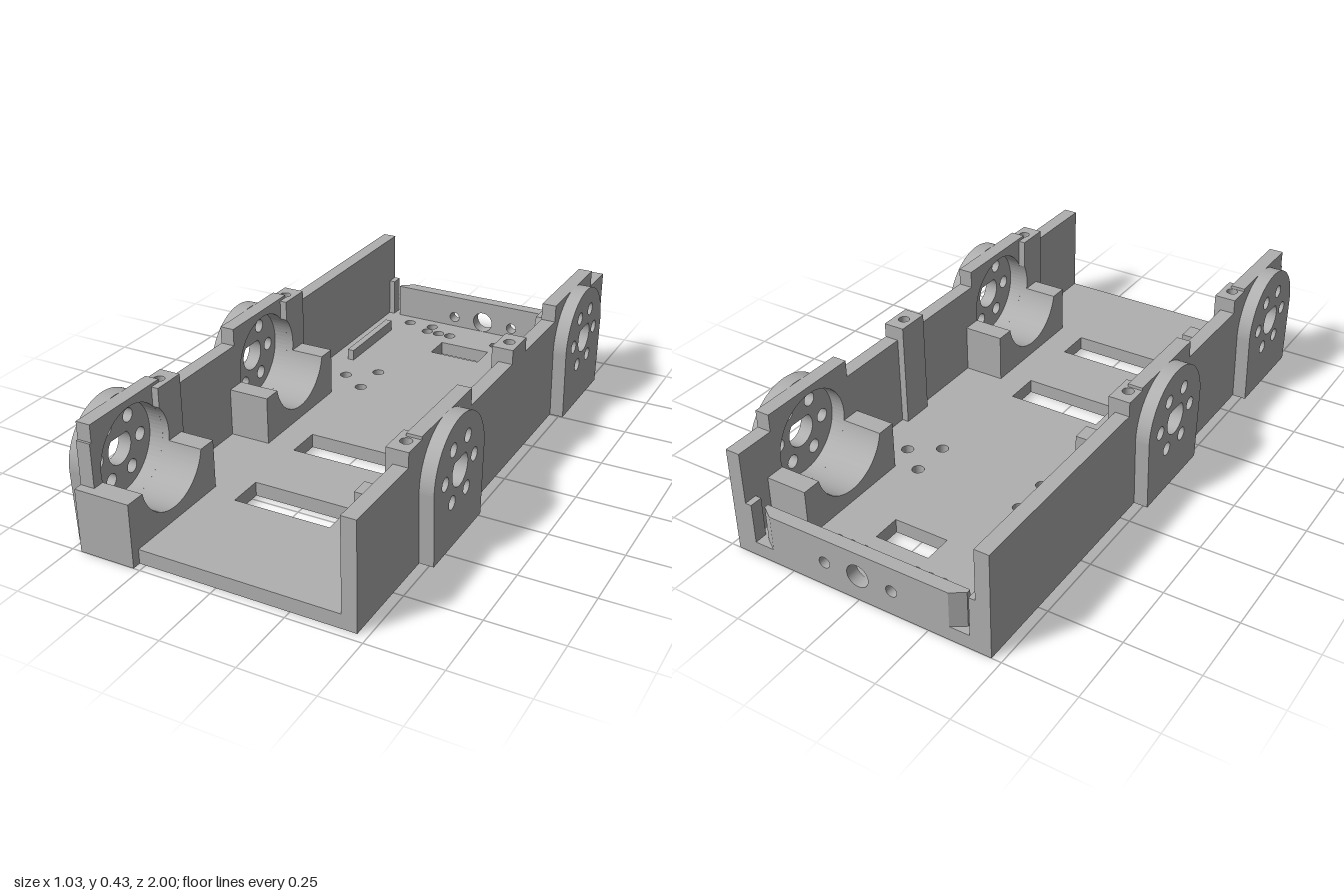
import * as THREE from 'three';

const WALL_IN = 0.417, WALL_OUT = 0.467, BOSS_OUT = 0.515;
const AXLE_Y = 0.25, BORE = 0.155, FLOOR = 0.05, WALL_TOP = 0.37, RAISED = 0.43;
const BACK = -1, FRONT = 0.97;

const polygon = pts => new THREE.Shape(pts.map(p => new THREE.Vector2(p[0], p[1])));
const circle = (u, v, r) => new THREE.Path().absarc(u, v, r, 0, Math.PI * 2, true);
const rect = (u0, u1, v0, v1) => [[u0, v0], [u1, v0], [u1, v1], [u0, v1]];

// Profile in (-z, y), swept along x between a and b
function sideSlab(shape, a, b) {
  const g = new THREE.ExtrudeGeometry(shape, { depth: Math.abs(b - a), bevelEnabled: false, curveSegments: 32 });
  return g.translate(0, 0, Math.min(a, b)).rotateY(Math.PI / 2);
}

// Plan in (x, -z), swept upwards between y0 and y1
function planSlab(shape, y0, y1) {
  const g = new THREE.ExtrudeGeometry(shape, { depth: y1 - y0, bevelEnabled: false, curveSegments: 16 });
  return g.rotateX(-Math.PI / 2).translate(0, y0, 0);
}

export function createModel() {
  const model = new THREE.Group();
  const grey = new THREE.MeshStandardMaterial({ color: 0xb0b0b0 });
  grey.name = 'plastic grey';
  const add = (name, geometry) => {
    const m = new THREE.Mesh(geometry, grey);
    m.name = name;
    model.add(m);
    return m;
  };
  const box = (name, x0, x1, y0, y1, z0, z1) =>
    add(name, new THREE.BoxGeometry(x1 - x0, y1 - y0, z1 - z0)
      .translate((x0 + x1) / 2, (y0 + y1) / 2, (z0 + z1) / 2));

  // Floor with cable slots and screw holes
  const floor = polygon(rect(-WALL_IN, WALL_IN, -FRONT, -BACK));
  for (const [w, z0, z1] of [[0.172, 0.11, 0.235], [0.172, 0.475, 0.6], [0.098, -0.785, -0.685]])
    floor.holes.push(polygon(rect(-w, w, -z1, -z0)));
  const holes = [[0.295, -0.9], [0.197, -0.903], [0.197, -0.856], [0.147, -0.856], [0.098, -0.856],
    [0.197, -0.43], [0.295, -0.355], [0.197, -0.29]];
  for (const [x, z] of holes)
    for (const s of [-1, 1]) floor.holes.push(circle(s * x, -z, 0.021));
  add('floor', planSlab(floor, 0, FLOOR));
  box('floorRib', -0.355, -0.33, FLOOR, 0.09, -0.8, -0.48);

  // Each side: motor centres, raised wall spans and screw post centres
  const sides = [
    { s: 1, name: 'left', motors: [-0.675, 0.407], raised: [[-0.86, -0.49], [0.225, 0.577]] },
    { s: -1, name: 'right', motors: [0.015, 0.777], raised: [[-0.137, 0.2], [0.623, 0.962]] },
  ];
  const posts = [-0.16, 0.603];

  for (const { s, name, motors, raised } of sides) {
    // Side wall with raised sections and motor bores
    const outline = [[-BACK, 0], [-BACK, WALL_TOP]];
    for (const [z0, z1] of raised)
      outline.push([-z0, WALL_TOP], [-z0, RAISED], [-z1, RAISED], [-z1, WALL_TOP]);
    outline.push([-FRONT, WALL_TOP], [-FRONT, 0]);
    const wall = polygon(outline);
    for (const z of motors) wall.holes.push(circle(-z, AXLE_Y, BORE));
    add(name + 'Wall', sideSlab(wall, s * WALL_IN, s * WALL_OUT));

    for (const z of motors) {
      // Cradle block with a round trough
      const top = 0.22, a = Math.asin((top - AXLE_Y) / BORE), half = 0.22;
      const z1 = Math.min(z + half, FRONT);
      const cradle = new THREE.Shape();
      cradle.moveTo(-z1, FLOOR);
      cradle.lineTo(-z + half, FLOOR);
      cradle.lineTo(-z + half, top);
      cradle.absarc(-z, AXLE_Y, BORE, a, -Math.PI - a, true);
      cradle.lineTo(-z1, top);
      add(name + 'MotorCradle', sideSlab(cradle, s * 0.272, s * WALL_IN));

      // Outer arched plate with teardrop shaft hole and six screw holes
      const r = 0.182;
      const plate = new THREE.Shape();
      plate.moveTo(-z - 0.172, 0);
      plate.lineTo(-z + 0.172, 0);
      plate.lineTo(-z + r, AXLE_Y);
      plate.absarc(-z, AXLE_Y, r, 0, Math.PI, false);
      const drop = new THREE.Path();
      drop.moveTo(-z, AXLE_Y + 0.08);
      drop.absarc(-z, AXLE_Y, 0.056, Math.PI * 0.75, Math.PI * 2.25, false);
      plate.holes.push(drop);
      for (let i = 0; i < 6; i++) {
        const t = i * Math.PI / 3;
        plate.holes.push(circle(-z + 0.104 * Math.cos(t), AXLE_Y + 0.104 * Math.sin(t), 0.023));
      }
      add(name + 'MotorPlate', sideSlab(plate, s * WALL_OUT, s * BOSS_OUT));
    }

    for (const z of posts) {
      // Screw post, hollowed where the motor bore passes through it
      const z0 = z - 0.058, z1 = z + 0.058;
      const post = new THREE.Shape();
      post.moveTo(-z1, FLOOR);
      post.lineTo(-z0, FLOOR);
      for (const m of motors)
        if (m < z && m + BORE > z0) {
          const a = Math.acos((z0 - m) / BORE);
          post.absarc(-m, AXLE_Y, BORE, Math.PI + a, Math.PI - a, true);
        }
      post.lineTo(-z0, WALL_TOP);
      post.lineTo(-z1, WALL_TOP);
      for (const m of motors)
        if (m > z && m - BORE < z1) {
          const a = Math.acos((m - z1) / BORE);
          post.absarc(-m, AXLE_Y, BORE, a, -a, true);
        }
      add(name + 'ScrewPost', sideSlab(post, s * 0.393, s * WALL_IN));
      const cap = polygon(rect(Math.min(s * 0.393, s * WALL_OUT), Math.max(s * 0.393, s * WALL_OUT), -z1, -z0));
      cap.holes.push(circle(s * 0.43, -z, 0.019));
      add(name + 'ScrewPostCap', planSlab(cap, WALL_TOP, 0.42));
    }

    // Thin strip beside the rear panel slot
    box(name + 'RearStrip', Math.min(s * 0.395, s * WALL_IN), Math.max(s * 0.395, s * WALL_IN),
      FLOOR, 0.19, BACK, -0.955);
  }

  // Front end of the foremost cradle
  box('frontBlock', -WALL_OUT, -0.272, 0, 0.22, FRONT, 1);

  // Rear panel with three holes and chamfered ends
  const panel = polygon(rect(-0.325, 0.325, FLOOR, 0.175));
  panel.holes.push(circle(0, 0.09, 0.0395));
  for (const s of [-1, 1]) panel.holes.push(circle(s * 0.123, 0.088, 0.02));
  add('rearPanel', new THREE.ExtrudeGeometry(panel, { depth: 0.045, bevelEnabled: false, curveSegments: 24 })
    .translate(0, 0, BACK));
  for (const s of [-1, 1]) {
    const end = polygon([[s * 0.325, 1], [s * 0.37, 0.97], [s * 0.37, 0.955], [s * 0.325, 0.955]]);
    add('rearPanelEnd', planSlab(end, FLOOR, 0.175));
  }
  return model;
}
